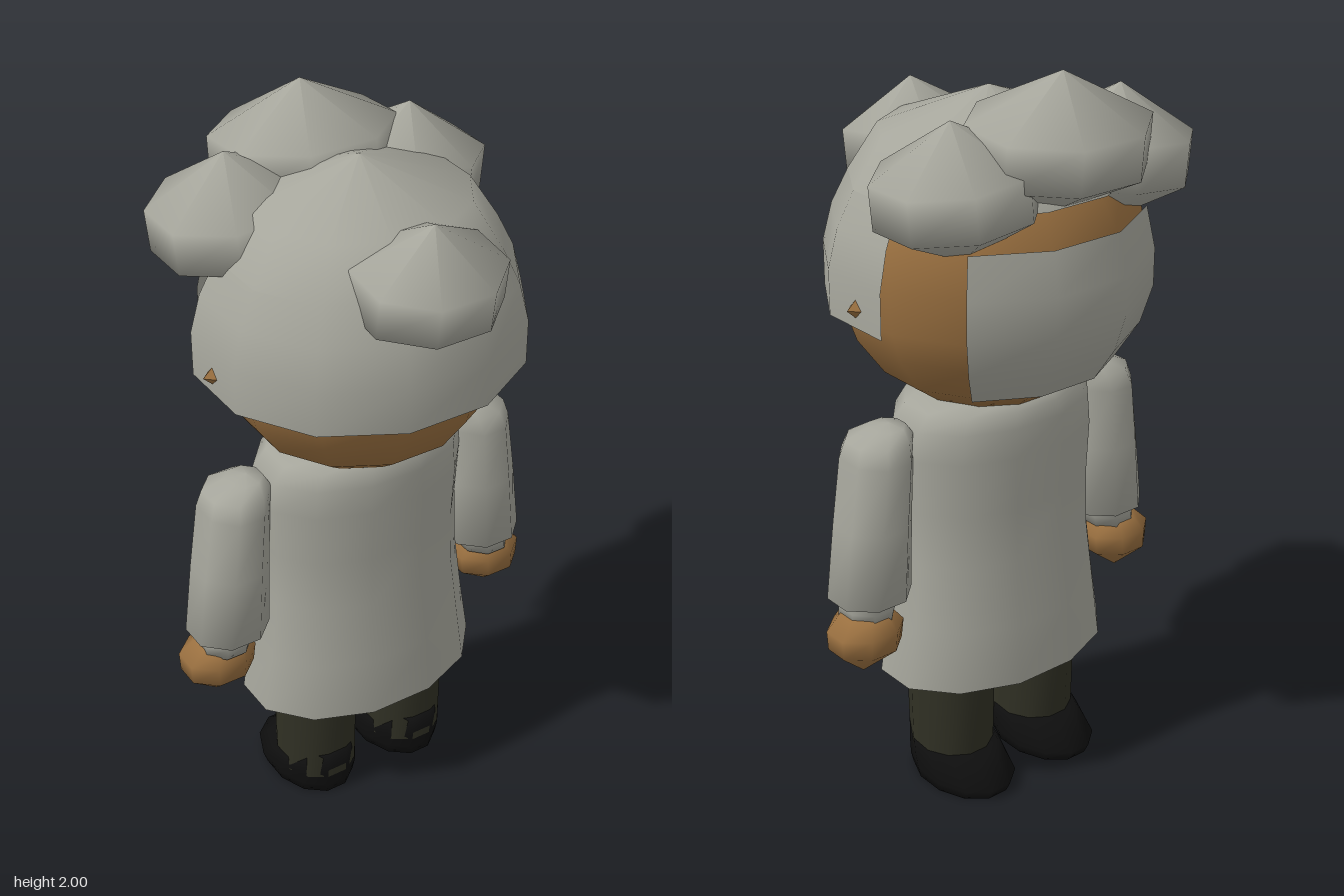
import * as THREE from 'three';

const mat = (name, color, side = THREE.FrontSide) => {
  const m = new THREE.MeshStandardMaterial({ color, side });
  m.name = name;
  return m;
};

// Skin of oval rings [y, rx, rz, cx, cz], listed from bottom to top
function loft(rings, sides, start = 0, sweep = 360) {
  const pos = [], idx = [], full = sweep === 360;
  const cols = full ? sides : sides + 1;
  for (const [y, rx, rz = rx, cx = 0, cz = 0] of rings) {
    for (let j = 0; j < cols; j++) {
      const a = THREE.MathUtils.degToRad(start + (sweep * j) / sides);
      pos.push(cx + rx * Math.sin(a), y, cz + rz * Math.cos(a));
    }
  }
  for (let i = 0; i < rings.length - 1; i++) {
    for (let j = 0; j < sides; j++) {
      const a = i * cols + j, b = i * cols + ((j + 1) % cols);
      idx.push(a, b, b + cols, a, b + cols, a + cols);
    }
  }
  const g = new THREE.BufferGeometry();
  g.setAttribute('position', new THREE.Float32BufferAttribute(pos, 3));
  g.setIndex(idx);
  g.computeVertexNormals();
  return g;
}

export function createModel() {
  const model = new THREE.Group();
  const grey = mat('wool grey', 0xa6a69c, THREE.DoubleSide);
  const skin = mat('skin brown', 0x9a7040);
  const trouser = mat('trouser olive', 0x303024);
  const leather = mat('shoe black', 0x0e0e0e);

  const add = (name, geometry, material, parent = model) => {
    const m = new THREE.Mesh(geometry, material);
    m.name = name;
    parent.add(m);
    return m;
  };

  // Long coat with a closed hem
  const coat = [
    [0.35, 0.345, 0.236], [0.52, 0.318, 0.225], [0.7, 0.295, 0.206], [0.85, 0.291, 0.202],
    [1.0, 0.301, 0.204], [1.08, 0.293, 0.2], [1.12, 0.255, 0.188], [1.15, 0.21, 0.165], [1.15, 0, 0],
  ].map(([y, rx, rz]) => [y, rx, rz, 0, -0.017]);
  add('coat', loft(coat, 12, 15), grey);
  add('coatHem', loft([[0.351, 0, 0, 0, -0.017], coat[0]], 12, 15), grey);

  // Head
  const oval = (rows) => rows.map(([y, r]) => [y, r, r * 0.95, 0, -0.004]);
  add('head', loft(oval([
    [1.125, 0], [1.135, 0.2], [1.2, 0.29], [1.3, 0.362], [1.38, 0.39], [1.5, 0.402],
    [1.61, 0.388], [1.7, 0.335], [1.8, 0.24], [1.88, 0],
  ]), 12, 15), skin);

  // Hair shell: a closed crown over sides that leave the -z side open
  add('hairCrown', loft(oval([[1.69, 0.36], [1.81, 0.282], [1.91, 0]]), 12, 15), grey);
  add('hairSides', loft(oval([[1.38, 0.431], [1.5, 0.431], [1.6, 0.405], [1.69, 0.36]]), 7, -105, 210), grey);

  // Curved plate on the -z side of the head
  add('facePlate', loft(oval([
    [1.21, 0.335], [1.3, 0.395], [1.4, 0.426], [1.5, 0.426], [1.61, 0.402],
  ]), 3, 135, 90), grey);

  // Hair puffs: [name, centre, half sizes, tilt about x, tilt about z]
  const puffs = [
    ['backPuff', [0, 1.825, -0.26], [0.225, 0.176, 0.193], -0.08, 0],
    ['leftPuff', [0.247, 1.735, -0.187], [0.195, 0.175, 0.178], 0, -0.1],
    ['rightPuff', [-0.247, 1.735, -0.187], [0.195, 0.175, 0.178], 0, 0.1],
    ['frontPuff', [0, 1.7, 0.29], [0.18, 0.166, 0.16], 0.14, 0],
  ];
  for (const [name, p, s, tx, tz] of puffs) {
    const r = 1 / Math.cos(Math.PI / 8);
    const g = loft([[-1, 0], [-0.32, r], [0.32, r], [1, 0]], 8, 22.5);
    g.scale(...s);
    g.computeVertexNormals();
    const puff = add(name, g, grey);
    puff.position.set(...p);
    puff.rotation.set(tx, 0, tz);
  }

  for (const s of [1, -1]) {
    const side = s > 0 ? 'left' : 'right';

    // Ear
    const ear = add(side + 'Ear', new THREE.OctahedronGeometry(1), skin);
    ear.scale.set(0.055, 0.05, 0.048);
    ear.position.set(s * 0.387, 1.43, -0.008);

    // Sleeve, cuff and hand
    const arm = new THREE.Group();
    arm.name = side + 'Arm';
    model.add(arm);
    add(side + 'Sleeve', loft([
      [0.645, 0, 0, s * 0.406, -0.015], [0.645, 0.112, 0.108, s * 0.406, -0.015],
      [0.85, 0.102, 0.108, s * 0.39, -0.015], [1.03, 0.092, 0.108, s * 0.373, -0.015],
      [1.075, 0.088, 0.09, s * 0.363, -0.015], [1.1, 0.05, 0.05, s * 0.34, -0.015],
      [1.105, 0, 0, s * 0.33, -0.015],
    ], 8, 22.5), grey, arm);
    add(side + 'Cuff', loft([
      [0.59, 0, 0, s * 0.42, -0.018], [0.59, 0.073, 0.078, s * 0.42, -0.018],
      [0.62, 0.076, 0.08, s * 0.415, -0.018], [0.66, 0.085, 0.09, s * 0.41, -0.018],
    ], 8, 22.5), grey, arm);
    add(side + 'Hand', loft([
      [0.43, 0, 0, s * 0.443, -0.03], [0.51, 0.1, 0.09, s * 0.435, -0.03],
      [0.563, 0.105, 0.092, s * 0.433, -0.03], [0.605, 0.065, 0.068, s * 0.428, -0.025],
      [0.61, 0, 0, s * 0.428, -0.025],
    ], 8, 22.5), skin, arm);

    // Trouser leg
    add(side + 'Leg', loft([
      [0.06, 0.11, 0.122, s * 0.143, -0.015], [0.42, 0.116, 0.13, s * 0.143, -0.015],
    ], 12, 15), trouser);

    // Shoe with a raised heel collar, toe towards -z
    const shoe = loft([
      [0, 0, 0, s * 0.143, -0.06], [0, 0.115, 0.162, s * 0.143, -0.06],
      [0.03, 0.124, 0.172, s * 0.143, -0.065], [0.07, 0.12, 0.15, s * 0.143, -0.042],
      [0.1, 0.112, 0.132, s * 0.143, -0.022], [0.1, 0, 0, s * 0.143, -0.02],
    ], 12, 15);
    const p = shoe.attributes.position;
    for (let i = 0; i < p.count; i++) {
      if (p.getY(i) > 0.09) p.setY(i, 0.1 + 0.5 * THREE.MathUtils.clamp(p.getZ(i), 0, 0.1));
    }
    shoe.computeVertexNormals();
    add(side + 'Shoe', shoe, leather);
  }
  return model;
}
